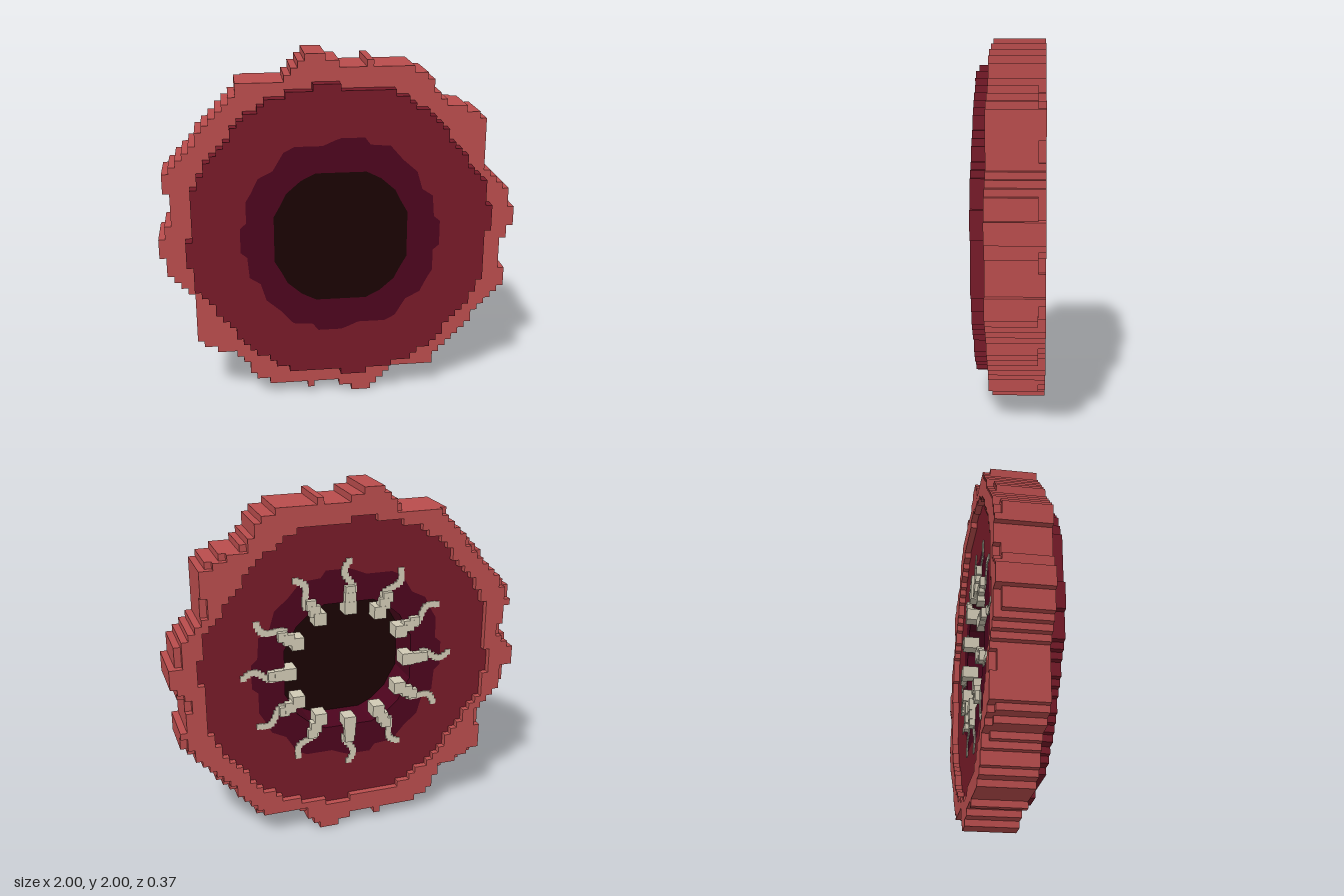
import * as THREE from 'three';

const C = 1 / 27; // size of one voxel

// Right-hand extent of each voxel row, top to bottom; the left side is its half-turn copy.
const RIM_ROWS = [
  -2, 0, 11, 13, 14, 14, 15, 16, 19, 21, 22, 22, 22, 22, 22, 22, 22, 22,
  23, 24, 25, 26, 26, 26, 27, 27, 27, 26, 26, 25, 25, 25, 25, 25, 26, 26,
  26, 25, 24, 23, 22, 21, 21, 20, 19, 18, 17, 16, 15, 15, 8, 7, 6, 5];
const DISC_ROWS = [
  0, 8, 10, 11, 13, 14, 15, 16, 16, 17, 18, 19, 19, 20, 21, 22, 22, 22, 22, 23, 23, 23, 23,
  22, 22, 22, 22, 22, 22, 22, 22, 21, 21, 20, 20, 19, 18, 17, 16, 16, 15, 14, 12, 11, 8, 4];

// Half outlines with softened steps, completed by a half turn.
const GUM_HALF = [
  [-0.03, 0.55], [0, 0.56], [0.13, 0.56], [0.16, 0.52], [0.27, 0.51], [0.34, 0.43], [0.42, 0.36],
  [0.45, 0.26], [0.51, 0.22], [0.52, 0.1], [0.555, 0.07], [0.555, -0.07], [0.52, -0.1],
  [0.52, -0.22], [0.49, -0.27], [0.45, -0.35], [0.37, -0.39], [0.31, -0.49], [0.25, -0.52], [0.1, -0.52]];
const THROAT_HALF = [
  [-0.14, 0.37], [0.14, 0.37], [0.2, 0.34], [0.22, 0.33], [0.3, 0.26], [0.33, 0.2], [0.37, 0.13],
  [0.37, -0.13], [0.33, -0.2], [0.3, -0.26], [0.22, -0.33], [0.2, -0.34]];

const vec = ([x, y]) => new THREE.Vector2(x, y);
const halfTurn = (half) => [...half, ...half.map(([x, y]) => [-x, -y])].map(vec);

// Stepped closed outline from a list of row extents
function rowOutline(rows) {
  const half = [];
  rows.forEach((r, i) => {
    const top = (rows.length / 2 - i) * C;
    half.push([r * C, top], [r * C, top - C]);
  });
  const pts = halfTurn(half);
  return pts.filter((p, i) => !i || p.distanceTo(pts[i - 1]) > 1e-5);
}

// Slab between two depths, with an optional hole wound against the outline
function slab(outline, hole, z0, z1) {
  const shape = new THREE.Shape(outline);
  if (hole) shape.holes.push(new THREE.Path([...hole].reverse()));
  const geo = new THREE.ExtrudeGeometry(shape, { depth: z1 - z0, bevelEnabled: false });
  return geo.translate(0, 0, z0);
}

function mat(name, color) {
  const m = new THREE.MeshStandardMaterial({ color });
  m.name = name;
  return m;
}

export function createModel() {
  const model = new THREE.Group();
  model.name = 'toothedMaw';
  const body = new THREE.Group();
  body.name = 'body';
  body.position.y = 1;
  model.add(body);

  const skin = mat('rim red', 0xb84c4c);
  const flesh = mat('dark red flesh', 0x761a28);
  const gum = mat('purple gum', 0x4c041d);
  const black = mat('throat black', 0x190302);
  const ivory = mat('tooth ivory', 0xd0c9b4);

  const add = (parent, name, geo, material) => {
    const mesh = new THREE.Mesh(geo, material);
    mesh.name = name;
    parent.add(mesh);
  };

  const disc = rowOutline(DISC_ROWS);
  const gumLine = halfTurn(GUM_HALF);
  const throat = halfTurn(THROAT_HALF);
  const back = -5 * C, recess = -4 * C, front = 5 * C;

  // Outer rim, with a slightly notched rear layer
  add(body, 'rim', slab(rowOutline(RIM_ROWS), disc, recess, 3 * C), skin);
  const notched = RIM_ROWS.map((r, i) => (i > 2 && i < 51 && i % 7 < 3 ? r - 1 : r));
  add(body, 'rimBackLayer', slab(rowOutline(notched), disc, back, recess), skin);
  for (const s of [1, -1]) {
    const nub = new THREE.BoxGeometry(C, C, 8 * C);
    add(body, 'rimNub', nub.translate(s * 4.5 * C, s * 25.5 * C, -C), skin);
  }

  // Nested rings around the cavity, closed by the throat floor
  add(body, 'fleshDisc', slab(disc, gumLine, recess, front), flesh);
  add(body, 'gumRing', slab(gumLine, throat, recess, front), gum);
  add(body, 'throatFloor', slab(throat, null, 2 * C, front), black);

  // Twelve hooked teeth of upright blocks: flat crooked roots, thick crowns, fangs bent inwards
  for (let i = 0; i < 12; i++) {
    const tooth = new THREE.Group();
    tooth.name = 'tooth';
    const a = (i * Math.PI) / 6, cos = Math.cos(a), sin = Math.sin(a);
    const side = i % 2 ? 1 : -1;
    const block = (name, r, off, size, z0, z1) => {
      const geo = new THREE.BoxGeometry(size, size, z1 - z0);
      geo.translate(r * cos - off * sin, r * sin + off * cos, (z0 + z1) / 2);
      add(tooth, name, geo, ivory);
    };
    for (let k = 0; k < 9; k++) {
      const sway = side * 0.028 * Math.sin((k / 8) * Math.PI * 1.5);
      block('root', 0.6 - k * 0.02, -sway, 0.034, recess - 0.006, recess);
    }
    block('crown', 0.44, 0, 0.055, back + 0.006, recess);
    block('crown', 0.4, 0, 0.062, back + 0.004, recess + 0.02);
    block('fang', 0.345, 0, 0.07, back + 0.002, -0.09);
    body.add(tooth);
  }
  return model;
}
